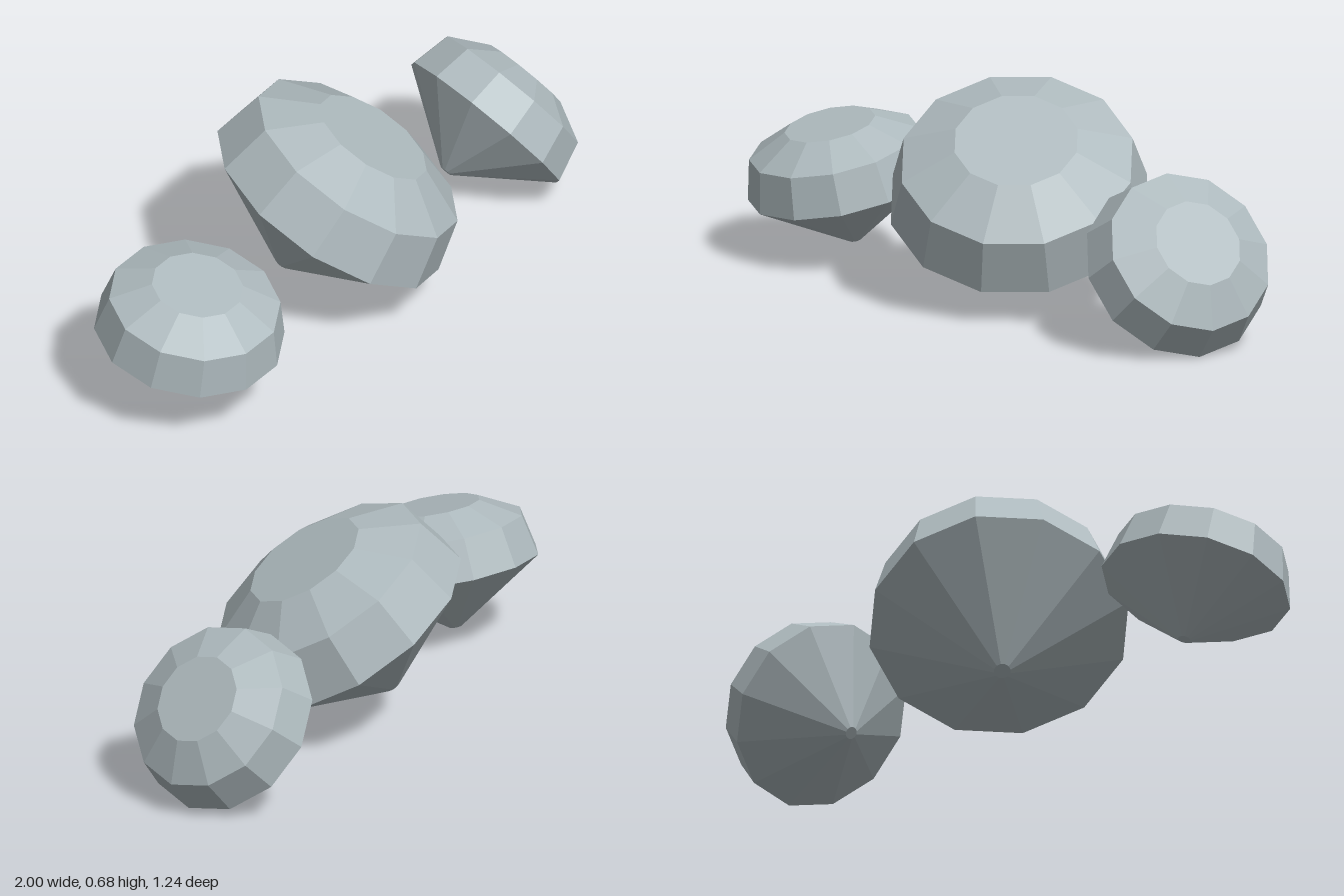
import * as THREE from 'three';

const SIDES = 12;

export function createModel() {
  const group = new THREE.Group();
  const crystal = new THREE.MeshStandardMaterial({ color: 0xaebabe, flatShading: true });
  crystal.name = 'pale blue grey crystal';

  // Unit cut gem, girdle radius 1: culet, pavilion, girdle band, crown, table
  const profile = [
    [0, -0.65], [0.065, -0.65], [1, 0], [0.9, 0.43], [0.48, 0.65], [0, 0.65],
  ].map(([r, y]) => new THREE.Vector2(r, y));
  const gemGeometry = new THREE.LatheGeometry(profile, SIDES);

  // Place a gem by its girdle centre, table direction and the direction of one corner
  function addGem(name, radius, centre, axis, corner) {
    const up = new THREE.Vector3(...axis).normalize();
    const front = new THREE.Vector3(...corner).projectOnPlane(up).normalize();
    const side = new THREE.Vector3().crossVectors(up, front);
    const gem = new THREE.Mesh(gemGeometry, crystal);
    gem.name = name;
    gem.quaternion.setFromRotationMatrix(new THREE.Matrix4().makeBasis(side, up, front));
    gem.position.set(...centre);
    gem.scale.setScalar(radius);
    group.add(gem);
  }

  addGem('rightGem', 0.312, [-0.69, 0.252, 0.318], [0.03, 0.97, 0.225], [0.156, -0.23, 0.988]);
  addGem('largeGem', 0.425, [0.008, 0.333, -0.037], [0.49, 0.845, 0.21], [-0.365, 0.215, -0.027]);
  addGem('leftGem', 0.312, [0.73, 0.252, -0.31], [0.785, 0.61, -0.13], [0.187, -0.245, -0.02]);

  return group;
}
